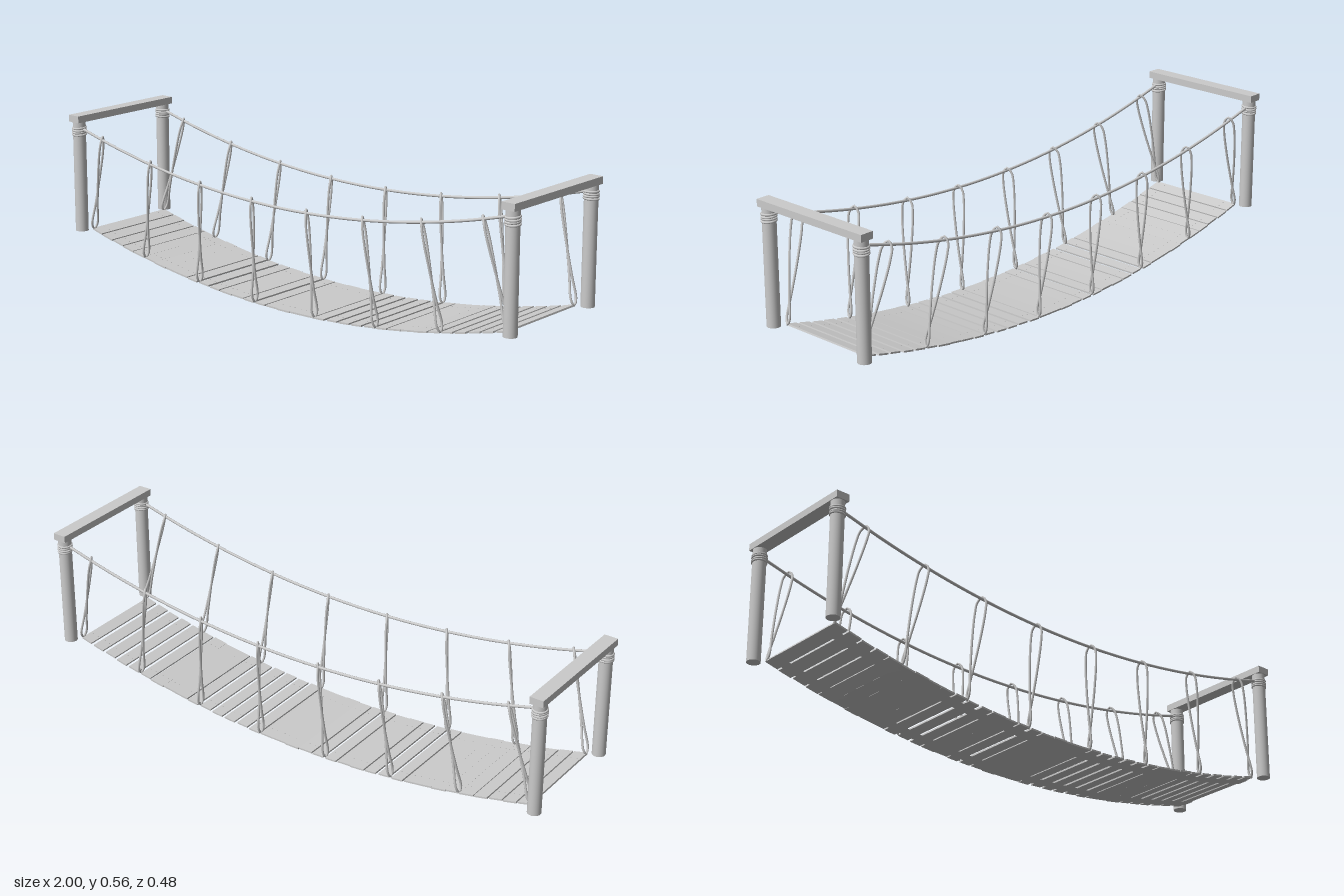
import * as THREE from 'three';

const deckY = (x) => 0.125 * (x / 0.95) ** 2;
const railY = (x) => 0.375 + 0.135 * (x / 0.96) ** 2;
const POST_X = 0.975, POST_Z = 0.213;

export function createModel() {
  const group = new THREE.Group();
  const mat = new THREE.MeshStandardMaterial({ color: 0xcccccc });
  const add = (name, geo, x = 0, y = 0, z = 0, parent = group) => {
    const mesh = new THREE.Mesh(geo, mat);
    mesh.name = name;
    mesh.position.set(x, y, z);
    parent.add(mesh);
    return mesh;
  };

  // End frames: posts, cross beams and rope lashings
  for (const sx of [-1, 1]) {
    add('crossBeam', new THREE.BoxGeometry(0.05, 0.025, 0.48), sx * POST_X, 0.5475, 0);
    for (const sz of [-1, 1]) {
      add('post', new THREE.CylinderGeometry(0.0235, 0.0235, 0.412, 24), sx * POST_X, 0.331, sz * POST_Z);
      for (let i = 0; i < 4; i++) {
        const ring = add('lashing', new THREE.TorusGeometry(0.0235, 0.004, 8, 28),
          sx * POST_X, 0.488 + i * 0.008, sz * POST_Z);
        ring.rotation.set(Math.PI / 2 + 0.07 * sz, 0.04 * (i % 2 ? 1 : -1), 0);
      }
    }
  }

  // Planks follow the sag; some butt together, others leave a gap
  const count = 35, pitch = 1.9 / count;
  const closed = [[-0.72, -0.48], [-0.3, -0.21], [-0.06, 0.16], [0.44, 0.6]];
  for (let i = 0; i < count; i++) {
    const x = -0.95 + (i + 0.5) * pitch;
    const slope = Math.atan(2 * 0.125 * x / 0.95 ** 2);
    const tight = closed.some(([a, b]) => x > a && x < b);
    const width = tight ? pitch * 1.01 : x < -0.7 ? 0.05 : 0.043;
    const plank = new THREE.Group();
    plank.name = 'plank';
    plank.position.set(x, deckY(x) + 0.005, 0);
    plank.rotation.z = slope;
    group.add(plank);
    add('board', new THREE.BoxGeometry(width, 0.006, 0.372 + 0.004 * Math.sin(i * 2.3)), 0, 0, 0, plank);
    for (const sz of [-1, 1]) for (const sx of [-1, 1]) {
      add('nail', new THREE.CylinderGeometry(0.002, 0.002, 0.002, 8), sx * 0.011, 0.0032, sz * 0.14, plank);
    }
  }

  // Thin straps facing down under the planks
  for (const sz of [-1, 1]) {
    const strap = new THREE.PlaneGeometry(1.9, 0.046, 40, 1).rotateX(Math.PI / 2);
    const p = strap.attributes.position;
    for (let i = 0; i < p.count; i++) p.setY(i, deckY(p.getX(i)));
    strap.computeVertexNormals();
    add('deckStrap', strap, 0, 0, sz * 0.139);
  }

  // Sagging hand ropes
  for (const sz of [-1, 1]) {
    const pts = [];
    for (let i = 0; i <= 12; i++) {
      const x = -0.965 + (1.93 * i) / 12;
      pts.push(new THREE.Vector3(x, railY(x), sz * POST_Z));
    }
    add('handRope', new THREE.TubeGeometry(new THREE.CatmullRomCurve3(pts), 80, 0.005, 8), 0, 0, 0);
  }

  // Hanger loops: strands part over the hand rope and cross above the deck
  const half = [[0.05, -0.01], [0.28, 0], [0.6, 0.012], [0.88, 0.017], [0.98, 0.013]];
  const tops = [0.125, 0.37, 0.615, 0.86];
  const bottoms = [0.138, 0.405, 0.675, 0.945];
  for (const sz of [-1, 1]) for (const sx of [-1, 1]) for (let k = 0; k < 4; k++) {
    const low = new THREE.Vector3(sx * bottoms[k], deckY(bottoms[k]) + 0.006, sz * 0.18);
    const high = new THREE.Vector3(sx * tops[k], railY(tops[k]), sz * 0.208);
    const at = (t, w, side) => low.clone().lerp(high, t)
      .add(new THREE.Vector3(side * 0.005 + w * 0.2, 0, w));
    const pts = [at(0, 0, 0)];
    for (const [t, w] of half) pts.push(at(t, w, 1));
    pts.push(at(1.03, 0, 0));
    for (const [t, w] of [...half].reverse()) pts.push(at(t, -w, -1));
    const curve = new THREE.CatmullRomCurve3(pts, true, 'centripetal');
    add('hangerLoop', new THREE.TubeGeometry(curve, 80, 0.0042, 8, true));
  }

  return group;
}
